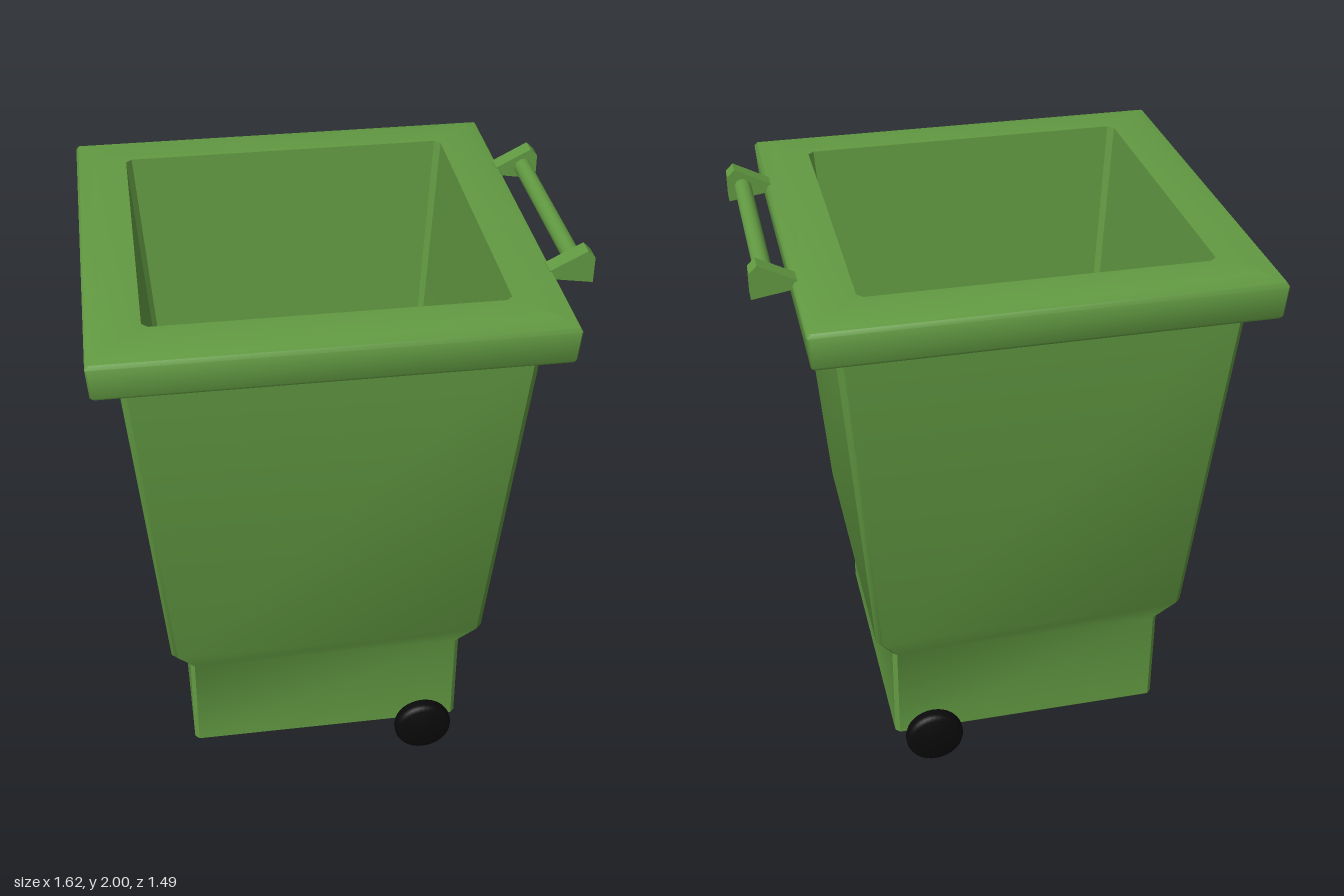
import * as THREE from 'three';
import { toCreasedNormals } from 'three/addons/utils/BufferGeometryUtils.js';

const green = new THREE.MeshStandardMaterial({ color: 0x629a42 });
const black = new THREE.MeshStandardMaterial({ color: 0x0a0a0a });
const CX = -0.067; // the bin sits off centre to make room for the handle

// Square ring with chamfered corners, counter-clockwise seen from above
function ring([half, y, chamfer]) {
  const a = half, b = half - chamfer;
  return [[a, -b], [a, b], [b, a], [-b, a], [-a, b], [-a, -b], [-b, -a], [b, -a]]
    .map(([u, v]) => [u, y, -v]);
}

// Skin joining successive rings, closed at both ends
function loft(sections) {
  const rings = sections.map(ring);
  const n = rings[0].length;
  const index = [];
  for (let i = 0; i < rings.length - 1; i++) {
    for (let j = 0; j < n; j++) {
      const a = i * n + j, b = i * n + (j + 1) % n;
      index.push(a, b, b + n, a, b + n, a + n);
    }
  }
  const last = (rings.length - 1) * n;
  for (let j = 1; j < n - 1; j++) {
    index.push(0, j + 1, j, last, last + j, last + j + 1);
  }
  const geo = new THREE.BufferGeometry();
  geo.setAttribute('position', new THREE.Float32BufferAttribute(rings.flat(2), 3));
  geo.setIndex(index);
  return toCreasedNormals(geo.toNonIndexed(), 0.65);
}

function add(parent, name, geometry, material, x = 0, y = 0, z = 0) {
  const mesh = new THREE.Mesh(geometry, material);
  mesh.name = name;
  mesh.position.set(x, y, z);
  parent.add(mesh);
  return mesh;
}

export function createModel() {
  const model = new THREE.Group();
  model.name = 'wheeledBin';

  // Bin: up the outside, over the rim, down the inside to the floor
  add(model, 'binBody', loft([
    [0.482, 0.085, 0.012],
    [0.491, 0.095, 0.015],
    [0.491, 0.465, 0.015],
    [0.555, 0.575, 0.02],
    [0.654, 1.81, 0.02],
    [0.73, 1.808, 0.005],
    [0.736, 1.818, 0.005],
    [0.743, 1.92, 0.005],
    [0.735, 1.933, 0.005],
    [0.68, 1.947, 0.005],
    [0.568, 1.947, 0.02],
    [0.469, 0.585, 0.015],
    [0.457, 0.48, 0.012],
    [0.457, 0.13, 0.012],
  ]), green, CX);

  // Handle: two flared brackets and a round bar
  const handle = new THREE.Group();
  handle.name = 'handle';
  model.add(handle);
  const flare = new THREE.Shape([
    [0.66, 1.91], [0.805, 1.887], [0.805, 1.975], [0.78, 2.0], [0.66, 1.938],
  ].map(([x, y]) => new THREE.Vector2(x, y)));
  const bracket = new THREE.ExtrudeGeometry(flare, { depth: 0.06, bevelEnabled: false });
  add(handle, 'leftHandleBracket', bracket, green, 0, 0, 0.34);
  add(handle, 'rightHandleBracket', bracket, green, 0, 0, -0.4);
  add(handle, 'handleBar', new THREE.CylinderGeometry(0.029, 0.029, 0.7, 20), green, 0.755, 1.936)
    .rotation.x = Math.PI / 2;

  // Wheels with rounded rims on short axle stubs
  const profile = [
    [0, -0.029], [0.088, -0.029], [0.1, -0.022], [0.105, -0.01],
    [0.105, 0.01], [0.1, 0.022], [0.088, 0.029], [0, 0.029],
  ].map(([r, h]) => new THREE.Vector2(r, h));
  const wheel = toCreasedNormals(new THREE.LatheGeometry(profile, 32), 0.65);
  const stub = new THREE.CylinderGeometry(0.025, 0.025, 0.08, 16);
  for (const [side, s] of [['front', 1], ['back', -1]]) {
    add(model, side + 'Wheel', wheel, black, 0.29, 0.107, s * 0.543).rotation.x = Math.PI / 2;
    add(model, side + 'Axle', stub, black, 0.29, 0.113, s * 0.5).rotation.x = Math.PI / 2;
  }
  return model;
}
